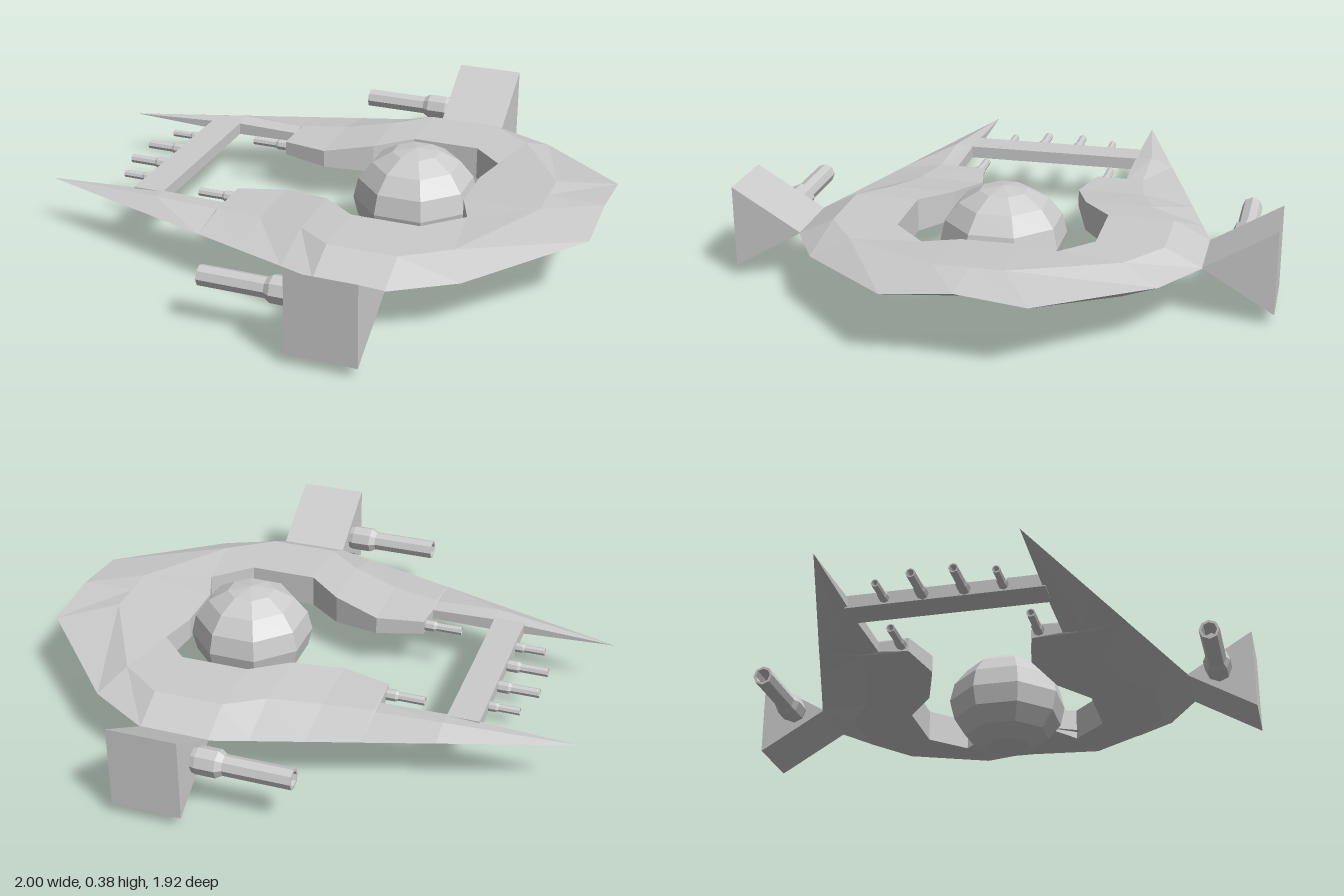
import * as THREE from 'three';

const MID = 0.193; // height of the hull's thin outer rim
const material = new THREE.MeshStandardMaterial({ color: 0xcccccc, flatShading: true });
const openMaterial = material.clone();
openMaterial.side = THREE.DoubleSide;

function add(parent, geometry, name, mat = material) {
  const mesh = new THREE.Mesh(geometry, mat);
  mesh.name = name;
  parent.add(mesh);
  return mesh;
}

// Cross-sections of the left half, from prong tip to tail:
// outer [x, y, z], ridge [x, z, top, bottom], inner [x, z, top, bottom]
const HALF = [
  [[-1, MID, 0.335], [-1, 0.335, MID, MID], [-1, 0.335, MID, MID]],
  [[-0.54, MID, 0.482], [-0.54, 0.4, 0.225, 0.165], [-0.54, 0.335, 0.217, 0.172]],
  [[-0.3, MID, 0.559], [-0.3, 0.4, 0.215, 0.172], [-0.3, 0.335, 0.212, 0.175]],
  [[-0.295, MID, 0.56], [-0.295, 0.4, 0.22, 0.168], [-0.295, 0.225, 0.22, 0.168]],
  [[-0.12, MID, 0.616], [-0.12, 0.43, 0.228, 0.158], [-0.12, 0.185, 0.226, 0.16]],
  [[0.06, MID, 0.673], [0.06, 0.49, 0.25, 0.141], [0.06, 0.245, 0.25, 0.141]],
  [[0.19, MID, 0.715], [0.19, 0.585, 0.257, 0.135], [0.19, 0.35, 0.257, 0.135]],
  [[0.44, MID, 0.715], [0.44, 0.585, 0.257, 0.135], [0.44, 0.35, 0.257, 0.135]],
  [[0.66, 0.205, 0.595], [0.6, 0.47, 0.257, 0.137], [0.57, 0.225, 0.257, 0.137]],
  [[1, 0.25, 0.24], [0.8, 0.12, 0.28, 0.18], [0.52, 0.1, 0.257, 0.178]],
  [[1, 0.275, 0], [0.8, 0, 0.28, 0.18], [0.52, 0, 0.257, 0.18]],
];

function hullGeometry() {
  const loop = ([o, r, n], s) => [
    [o[0], o[1], o[2] * s], [r[0], r[2], r[1] * s], [n[0], n[2], n[1] * s],
    [n[0], n[3], n[1] * s], [r[0], r[3], r[1] * s],
  ];
  const loops = [
    ...HALF.map((h) => loop(h, 1)),
    ...HALF.slice(0, -1).reverse().map((h) => loop(h, -1)),
  ];
  const pos = [];
  for (let i = 0; i < loops.length - 1; i++) {
    for (let k = 0; k < 5; k++) {
      const j = (k + 1) % 5;
      const a = loops[i][k], b = loops[i][j], c = loops[i + 1][j], d = loops[i + 1][k];
      pos.push(...a, ...d, ...b, ...b, ...d, ...c);
    }
  }
  const g = new THREE.BufferGeometry();
  g.setAttribute('position', new THREE.Float32BufferAttribute(pos, 3));
  g.computeVertexNormals();
  return g;
}

// Stepped hollow barrel pointing along -x, its base at the origin
function gunGeometry(length, collarLength, radius, collarRadius) {
  const profile = [
    [0, 0], [collarRadius * 0.9, 0], [collarRadius, collarLength * 0.15],
    [collarRadius, collarLength * 0.8], [radius, collarLength], [radius, length],
    [radius * 0.75, length], [radius * 0.75, length * 0.75], [0, length * 0.75],
  ].map(([r, y]) => new THREE.Vector2(r, y));
  return new THREE.LatheGeometry(profile, 8).rotateX(0).rotateZ(Math.PI / 2);
}

export function createModel() {
  const model = new THREE.Group();
  model.name = 'spacecraft';

  add(model, hullGeometry(), 'hull');

  // Faceted cockpit globe in the hull opening
  const globe = new THREE.SphereGeometry(0.226, 8, 8).rotateY(Math.PI / 8).scale(1, 0.84, 1);
  add(model, globe, 'globe').position.set(0.31, 0.195, 0);

  // Bar between the two prongs
  const bar = new THREE.BoxGeometry(0.115, 0.046, 0.69);
  add(model, bar, 'crossbar').position.set(-0.597, 0.195, 0);

  for (const side of [1, -1]) {
    const name = side > 0 ? 'left' : 'right';

    // Wedge pod widening outward from the rim
    const wedge = new THREE.Shape([
      new THREE.Vector2(0.71 * side, MID),
      new THREE.Vector2(0.96 * side, 0.045),
      new THREE.Vector2(0.96 * side, 0.345),
    ]);
    const pod = new THREE.ExtrudeGeometry(wedge, { depth: 0.25, bevelEnabled: false });
    pod.rotateY(-Math.PI / 2).translate(0.44, 0, 0);
    add(model, pod, name + 'Pod');

    // Guns: base x, z, length, collar length, radius, collar radius
    const guns = [
      ['PodGun', 0.19, 0.83, 0.35, 0.11, 0.037, 0.05],
      ['ArmGun', -0.292, 0.25, 0.145, 0.05, 0.016, 0.021],
      ['InnerBarGun', -0.65, 0.072, 0.155, 0.055, 0.017, 0.022],
      ['OuterBarGun', -0.65, 0.205, 0.115, 0.04, 0.014, 0.018],
    ];
    for (const [label, x, z, ...size] of guns) {
      const gun = add(model, gunGeometry(...size), name + label, openMaterial);
      gun.position.set(x, label === 'PodGun' ? 0.198 : 0.194, z * side);
    }
  }
  return model;
}
